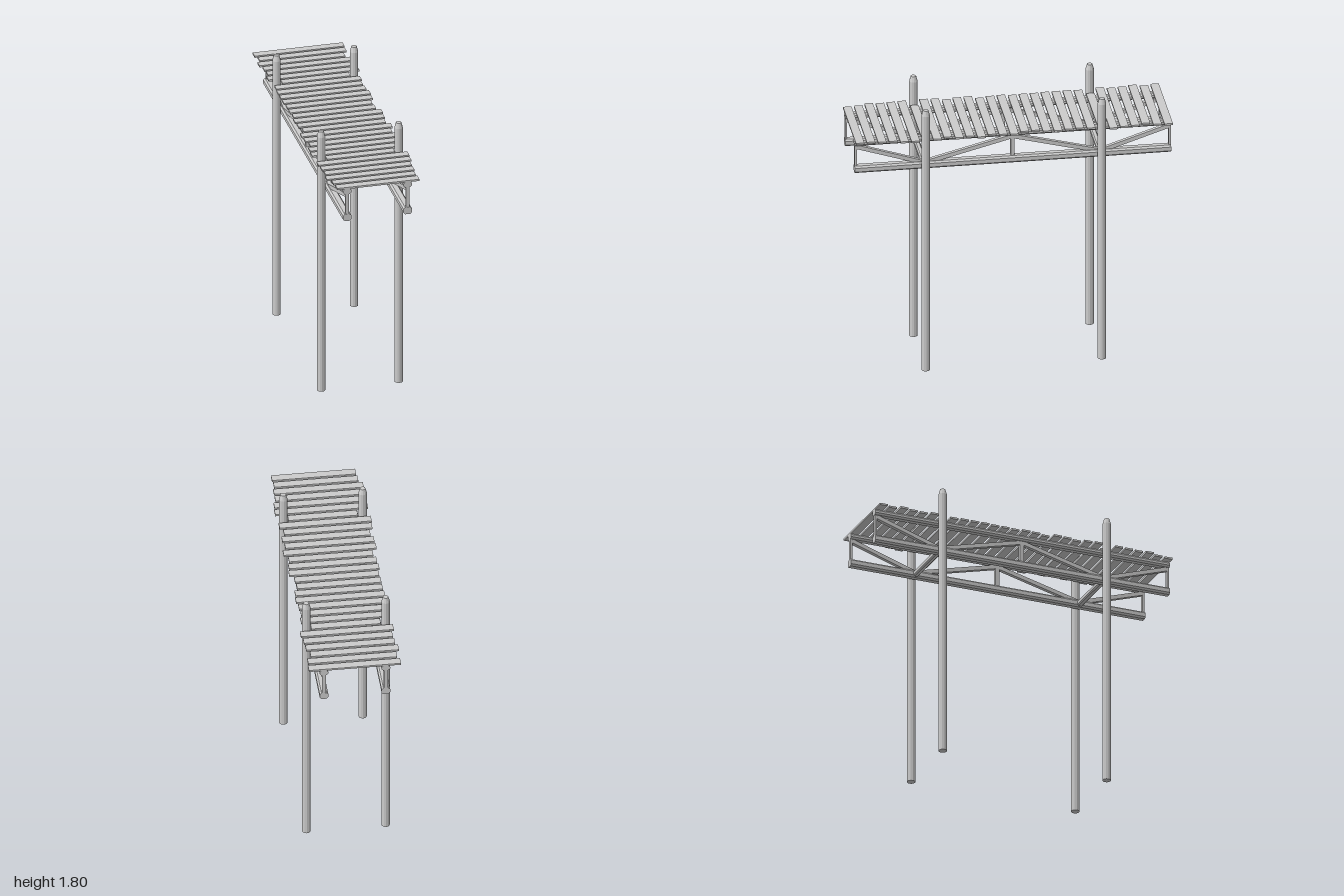
import * as THREE from 'three';

const material = new THREE.MeshStandardMaterial({ color: 0xcccccc, flatShading: true });

export function createModel() {
  const model = new THREE.Group();
  model.name = 'footbridge';

  const add = (name, geometry, x, y, z, parent = model) => {
    const mesh = new THREE.Mesh(geometry, material);
    mesh.name = name;
    mesh.position.set(x, y, z);
    parent.add(mesh);
    return mesh;
  };

  // Beam running along z with chamfered long edges
  const chamferedBeam = (w, h, length, c) => {
    const a = w / 2, b = h / 2;
    const shape = new THREE.Shape([
      [-a + c, -b], [a - c, -b], [a, -b + c], [a, b - c],
      [a - c, b], [-a + c, b], [-a, b - c], [-a, -b + c],
    ].map(([x, y]) => new THREE.Vector2(x, y)));
    return new THREE.ExtrudeGeometry(shape, { depth: length, bevelEnabled: false })
      .translate(0, 0, -length / 2);
  };

  // Four round piles with tapered tops
  const pileZ = 0.557;
  const pileGeometry = new THREE.LatheGeometry(
    [[0, 0], [0.027, 0], [0.027, 1.765], [0.017, 1.8], [0, 1.8]]
      .map(([r, y]) => new THREE.Vector2(r, y)), 12);
  for (const x of [-0.25, 0.25]) {
    for (const z of [-pileZ, pileZ]) add('pile', pileGeometry, x, 0, z);
  }

  // Two side trusses
  const upper = chamferedBeam(0.054, 0.036, 2, 0.011);
  const lower = chamferedBeam(0.054, 0.047, 2, 0.011);
  for (const side of [-1, 1]) {
    const truss = new THREE.Group();
    truss.name = side > 0 ? 'leftTruss' : 'rightTruss';
    truss.position.x = side * 0.195;
    model.add(truss);
    add('upperBeam', upper, 0, 1.583, 0, truss);
    add('lowerBeam', lower, 0, 1.402, 0, truss);
    add('middlePost', new THREE.BoxGeometry(0.025, 0.16, 0.025), 0, 1.495, 0, truss);
    for (const end of [-1, 1]) {
      add('endPost', new THREE.BoxGeometry(0.025, 0.16, 0.013), 0, 1.495, end * 0.9925, truss);
      // Diagonals run from the pile position up to the middle and the end
      for (const topZ of [0.01, 0.985]) {
        const dz = (topZ - pileZ) * end, dy = 0.14;
        const brace = add('diagonalBrace',
          new THREE.BoxGeometry(0.025, 0.026, Math.hypot(dz, dy)),
          0, 1.485, end * (topZ + pileZ) / 2, truss);
        brace.rotation.x = -Math.atan(dy / dz);
      }
    }
  }

  // Cross beams between the trusses at the piles
  for (const z of [-pileZ, pileZ]) {
    const beam = add('crossBeam', chamferedBeam(0.036, 0.036, 0.38, 0.008), 0, 1.402, z);
    beam.rotation.y = Math.PI / 2;
  }

  // Deck planks with uneven ends, in hundredths: [right end, left end]
  const ends = [
    [29, 29], [27.5, 28.5], [29.5, 26], [28, 28], [27.5, 28.5], [29, 29.5], [21.7, 22],
    [27.5, 27.5], [28, 26.5], [28, 27], [28, 28], [27.5, 27.5], [27.5, 25.5], [27, 26],
    [28, 28.7], [27.5, 28], [26, 27], [29, 29.5], [28.5, 27.5], [27, 28.5], [29, 26.5],
    [29.5, 28.5], [21.7, 22], [29, 29.5], [28.5, 29], [28, 27.5], [29, 27.5], [26.5, 26.5],
    [26, 27],
  ];
  const deck = new THREE.Group();
  deck.name = 'deck';
  model.add(deck);
  ends.forEach(([right, left], i) => {
    add('plank', new THREE.BoxGeometry((left + right) / 100, 0.012, 0.053),
      (left - right) / 200, 1.606, -0.9735 + i * 1.947 / 28, deck);
  });

  return model;
}
